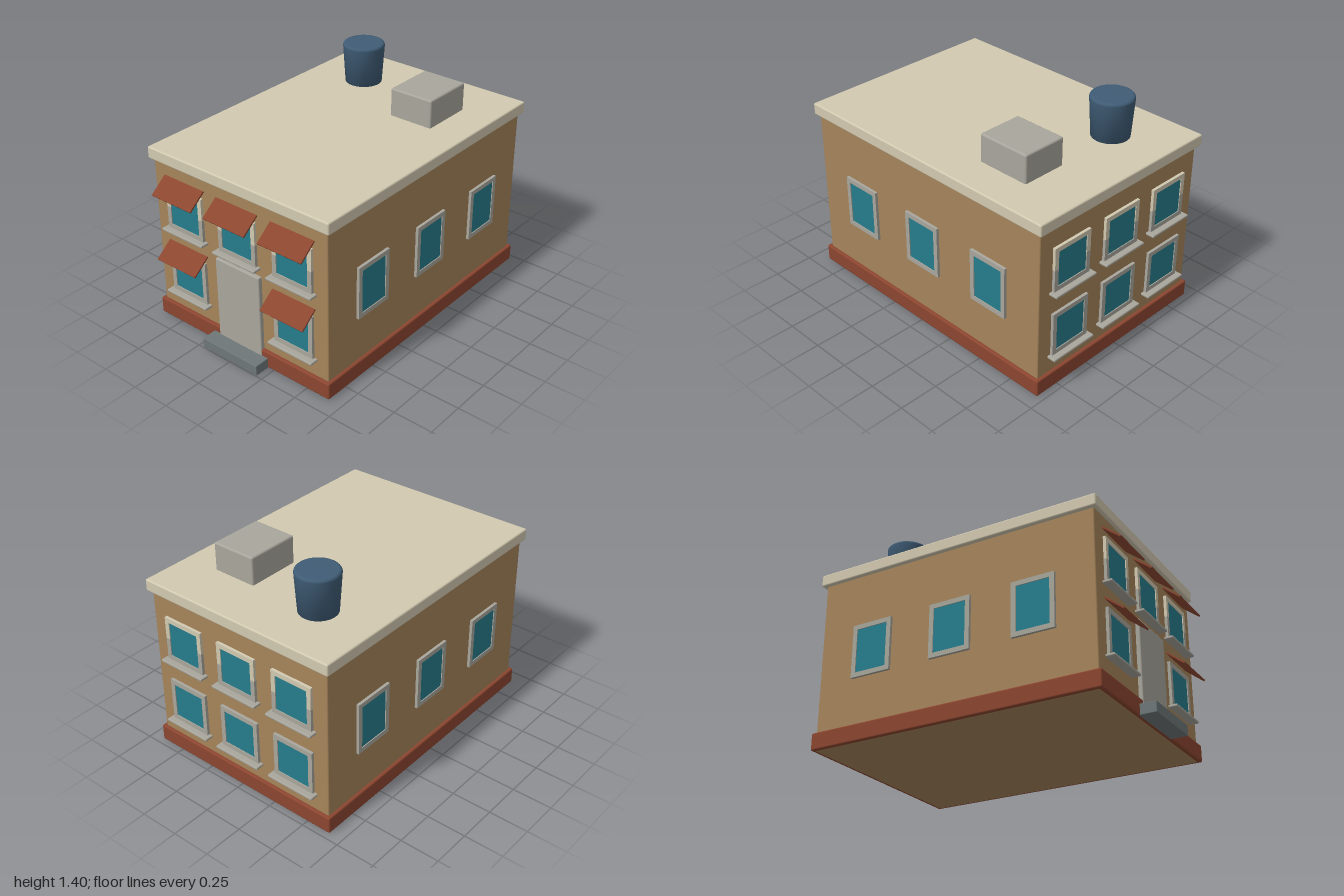
import * as THREE from 'three';
import { RoundedBoxGeometry } from 'three/addons/geometries/RoundedBoxGeometry.js';

const paint = (name, color) => {
  const m = new THREE.MeshStandardMaterial({ color });
  m.name = name;
  return m;
};

export function createModel() {
  const wallTan = paint('wall tan', 0xa6845a);
  const cream = paint('cream', 0xd2c9b0);
  const brick = paint('brick red', 0x8c4630);
  const glass = paint('window teal', 0x267d8c);
  const stone = paint('stone grey', 0xa8a69c);
  const slate = paint('step grey', 0x6f7779);
  const tankBlue = paint('tank blue', 0x3f5c75);

  const model = new THREE.Group();
  model.name = 'building';

  const add = (parent, name, geometry, material) => {
    const mesh = new THREE.Mesh(geometry, material);
    mesh.name = name;
    parent.add(mesh);
    return mesh;
  };

  // Rounded block given by its limits on each axis
  const block = (parent, name, material, [x0, x1], [y0, y1], [z0, z1], r = 0.008) => {
    const mesh = add(parent, name, new RoundedBoxGeometry(x1 - x0, y1 - y0, z1 - z0, 2, r), material);
    mesh.position.set((x0 + x1) / 2, (y0 + y1) / 2, (z0 + z1) / 2);
    return mesh;
  };

  // Main masses
  block(model, 'walls', wallTan, [-0.645, 0.645], [0, 1.09], [-0.943, 0.88]);
  block(model, 'plinth', brick, [-0.665, 0.665], [0.003, 0.11], [-0.963, 0.902], 0.01);
  block(model, 'roofSlab', cream, [-0.67, 0.67], [1.066, 1.142], [-0.97, 0.904], 0.01);

  // Entrance
  block(model, 'door', stone, [-0.167, 0.167], [0.03, 0.597], [0.86, 0.906]);
  block(model, 'doorStep', slate, [-0.212, 0.212], [0.004, 0.07], [0.86, 1.0], 0.004);

  // Rooftop equipment
  block(model, 'roofUnit', stone, [0.148, 0.44], [1.13, 1.318], [-0.64, -0.295], 0.012);
  const profile = [[0, 0], [0.115, 0]];
  const R = 0.131, H = 0.26, c = 0.018;
  for (let i = 0; i <= 4; i++) {
    const a = (i / 4) * Math.PI / 2;
    profile.push([R - c + c * Math.cos(a), H - c + c * Math.sin(a)]);
  }
  profile.push([0, H]);
  const tank = add(model, 'waterTank',
    new THREE.LatheGeometry(profile.map(p => new THREE.Vector2(...p)), 40), tankBlue);
  tank.position.set(-0.296, 1.14, -0.6);

  // Half of a window surround: an open U, flipped for the upper half
  const surroundHalf = (w, h, border, flip) => {
    const s = flip ? 1 : -1, a = w / 2, b = h / 2, i = a - border, j = b - border;
    const pts = [[-a, 0], [-a, b], [a, b], [a, 0], [i, 0], [i, j], [-i, j], [-i, 0]];
    const shape = new THREE.Shape(pts.map(([x, y]) => new THREE.Vector2(x, y * s)));
    return new THREE.ExtrudeGeometry(shape, { depth: 0.03, bevelEnabled: false });
  };

  // Window facing local +z, with the wall face at z = 0
  const makeWindow = (name, w, h, topMaterial, { proud = 0.018, sill = false, awning = false }) => {
    const g = new THREE.Group();
    g.name = name;
    const border = 0.029;
    for (const flip of [false, true]) {
      const half = add(g, flip ? 'upperSurround' : 'lowerSurround',
        surroundHalf(w, h, border, flip), flip ? topMaterial : stone);
      half.position.z = proud - 0.03;
    }
    const pane = add(g, 'pane', new THREE.BoxGeometry(w - 2 * border, h - 2 * border, 0.009), glass);
    pane.position.z = proud - 0.01;
    if (sill) {
      block(g, 'sill', stone, [-0.162, 0.162], [-h / 2 - 0.016, -h / 2 + 0.001], [-0.01, 0.055], 0.006);
    }
    if (awning) {
      // Sloping board from the wall down and outwards
      const top = [0.192, 0.003], bottom = [0.104, 0.112];
      const length = Math.hypot(top[0] - bottom[0], bottom[1] - top[1]);
      const board = add(g, 'awning', new THREE.BoxGeometry(0.308, 0.01, length), brick);
      board.position.set(0, (top[0] + bottom[0]) / 2, (top[1] + bottom[1]) / 2);
      board.rotation.x = Math.atan2(top[0] - bottom[0], bottom[1] - top[1]);
    }
    model.add(g);
    return g;
  };

  // Front and back windows, two storeys
  for (const x of [-0.405, 0, 0.405]) {
    for (const [floor, y, top] of [['lower', 0.365, stone], ['upper', 0.795, cream]]) {
      if (x !== 0 || floor === 'upper') {
        makeWindow(floor + 'FrontWindow', 0.28, 0.28, top, { sill: true, awning: true })
          .position.set(x, y, 0.88);
      }
      const back = makeWindow(floor + 'BackWindow', 0.28, 0.28, top, { sill: true });
      back.position.set(x, y, -0.943);
      back.rotation.y = Math.PI;
    }
  }

  // Side windows
  for (const side of [-1, 1]) {
    for (const z of [0.505, -0.031, -0.57]) {
      const w = makeWindow(side > 0 ? 'leftWindow' : 'rightWindow', 0.268, 0.334, stone, {});
      w.position.set(side * 0.645, 0.568, z);
      w.rotation.y = side * Math.PI / 2;
    }
  }

  return model;
}
